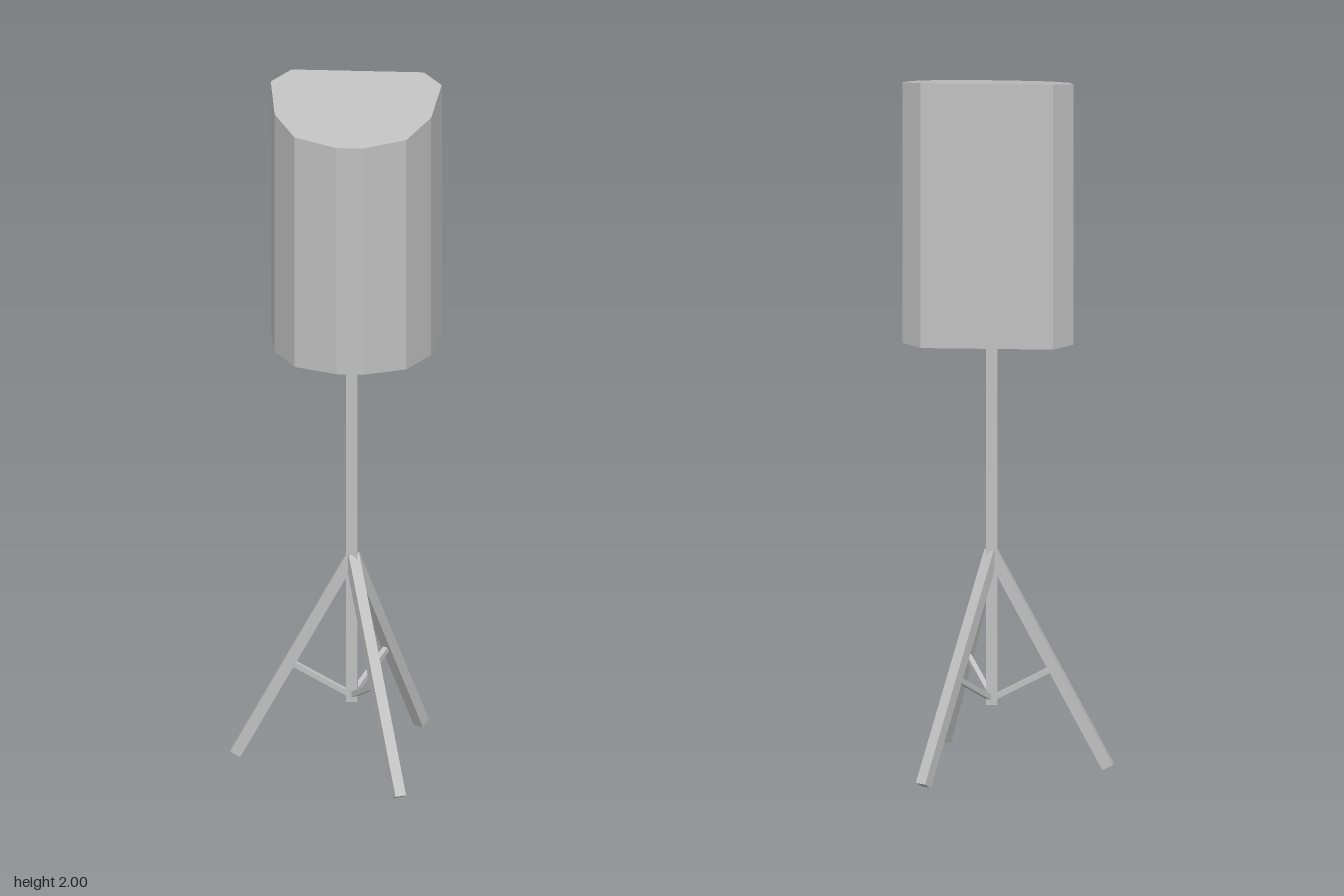
import * as THREE from 'three';

const PX = 0.047, PZ = -0.003; // pole axis

export function createModel() {
  const model = new THREE.Group();
  model.name = 'speakerOnTripod';
  const grey = new THREE.MeshStandardMaterial({ color: 0xbfbfbf });
  grey.name = 'grey';

  const add = (parent, geometry, name) => {
    const mesh = new THREE.Mesh(geometry, grey);
    mesh.name = name;
    parent.add(mesh);
    return mesh;
  };

  // Square bar between two (radius, height) points in a leg's own plane
  const bar = (parent, name, [r0, y0], [r1, y1], width) => {
    const length = Math.hypot(r1 - r0, y1 - y0);
    const mesh = add(parent, new THREE.BoxGeometry(length, width, width), name);
    mesh.position.set((r0 + r1) / 2, (y0 + y1) / 2, 0);
    mesh.rotation.z = Math.atan2(y1 - y0, r1 - r0);
  };

  // Cabinet: faceted plan, mirrored about its centre line, given as (half width, z)
  const half = [[0.037, 0.2], [0.157, 0.152], [0.219, 0.04], [0.239, -0.121], [0.185, -0.182]];
  const cx = 0.052;
  const outline = [
    ...half.map(([w, z]) => new THREE.Vector2(cx + w, -z)),
    ...half.slice().reverse().map(([w, z]) => new THREE.Vector2(cx - w, -z)),
  ];
  const cabinet = new THREE.ExtrudeGeometry(new THREE.Shape(outline), { depth: 1, bevelEnabled: false });
  cabinet.rotateX(-Math.PI / 2);
  // The top slopes down towards the front
  const p = cabinet.attributes.position;
  for (let i = 0; i < p.count; i++) {
    const top = 2 - 0.08 * (p.getZ(i) + 0.182) / 0.382;
    p.setY(i, p.getY(i) > 0.5 ? top : 1.24);
  }
  cabinet.computeVertexNormals();
  add(model, cabinet, 'cabinet');

  // Pole
  add(model, new THREE.BoxGeometry(0.032, 1.07, 0.032), 'pole').position.set(PX, 0.715, PZ);

  // Three legs, each with a brace back to the foot of the pole
  for (let i = 0; i < 3; i++) {
    const leg = new THREE.Group();
    leg.name = 'tripodLeg' + (i + 1);
    leg.position.set(PX, 0, PZ);
    leg.rotation.y = -THREE.MathUtils.degToRad(63 + i * 120);
    bar(leg, 'leg', [0, 0.615], [0.326, 0.008], 0.032);
    bar(leg, 'brace', [0, 0.195], [0.174, 0.288], 0.015);
    model.add(leg);
  }
  return model;
}
